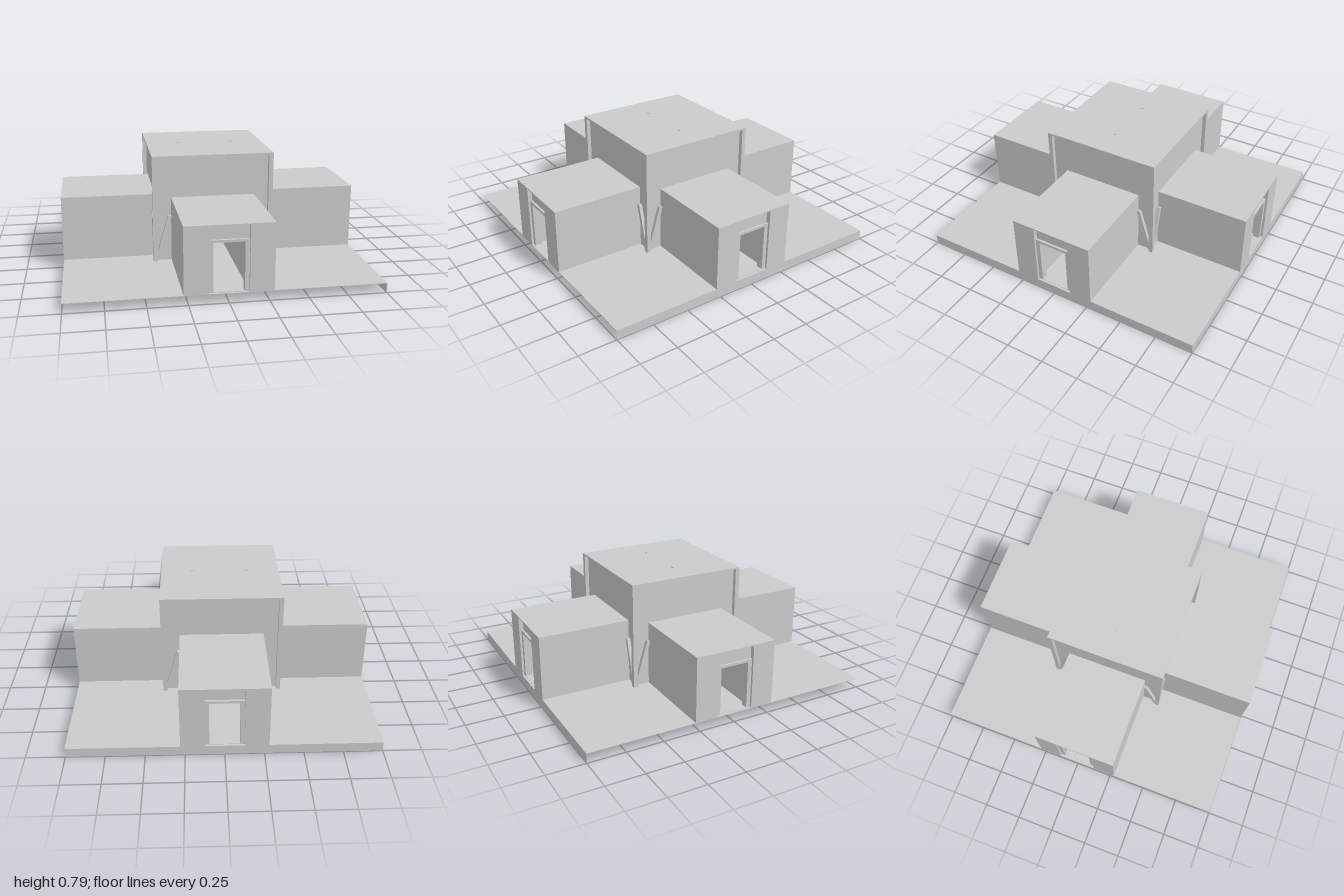
import * as THREE from 'three';

const FLOOR = 0.065, ARM_TOP = 0.5, TOP = 0.785;
const HALF = 0.405;   // half width of the central block
const PANEL = 0.378;  // half width of its recessed walls

export function createModel() {
  const model = new THREE.Group();
  const mat = new THREE.MeshStandardMaterial({ color: 0xcccccc, side: THREE.DoubleSide, flatShading: true });

  // Box given by its two opposite corners
  function box(parent, name, x0, x1, y0, y1, z0, z1) {
    const mesh = new THREE.Mesh(new THREE.BoxGeometry(x1 - x0, y1 - y0, z1 - z0), mat);
    mesh.position.set((x0 + x1) / 2, (y0 + y1) / 2, (z0 + z1) / 2);
    mesh.name = name;
    parent.add(mesh);
    return mesh;
  }

  // Square strut between two points
  function strut(parent, name, a, b, size) {
    const dir = b.clone().sub(a);
    const mesh = new THREE.Mesh(new THREE.BoxGeometry(size, dir.length(), size), mat);
    mesh.position.copy(a).add(b).multiplyScalar(0.5);
    mesh.quaternion.setFromUnitVectors(new THREE.Vector3(0, 1, 0), dir.normalize());
    mesh.name = name;
    parent.add(mesh);
  }

  // Thin floor, open underneath, with a skirt on two sides only
  box(model, 'floor', -1, 1, FLOOR - 0.003, FLOOR, -1, 1);
  box(model, 'skirtSide', 0.997, 1, 0, FLOOR, -1, 1);
  box(model, 'skirtBack', -1, 1, 0, FLOOR, -1, -0.997);

  // Central block: recessed walls under a thin overhanging roof
  box(model, 'upperWalls', -PANEL, PANEL, ARM_TOP - 0.01, TOP - 0.01, -PANEL, PANEL);
  box(model, 'centralRoof', -HALF, HALF, TOP - 0.012, TOP, -HALF, HALF);

  // Small roof fittings
  for (const s of [-1, 1]) {
    box(model, 'roofFitting', s * 0.19 - 0.015, s * 0.19 + 0.015, TOP, TOP + 0.005, -0.006, 0.006);
  }

  // One wing and one corner, repeated by quarter turns
  for (let i = 0; i < 4; i++) {
    const wing = new THREE.Group();
    wing.name = 'wing';
    wing.rotation.y = i * Math.PI / 2;
    model.add(wing);

    // Corridor walls and roof
    for (const s of [-1, 1]) {
      const a = s * 0.125, b = s * 0.28;
      box(wing, 'corridorWall', Math.min(a, b), Math.max(a, b), FLOOR, ARM_TOP - 0.004, 0.3, 1);
    }
    box(wing, 'wingRoof', -0.28, 0.28, ARM_TOP - 0.008, ARM_TOP, 0.3, 1);

    // Recessed doorway: header, jambs, lintel and sill
    box(wing, 'doorHeader', -0.125, 0.125, 0.385, ARM_TOP - 0.008, 0.945, 0.97);
    for (const s of [-1, 1]) {
      box(wing, 'doorJamb', s * 0.111 - 0.014, s * 0.111 + 0.014, FLOOR, 0.385, 0.94, 0.985);
    }
    box(wing, 'doorLintel', -0.125, 0.125, 0.383, 0.4, 0.94, 0.985);
    box(wing, 'doorSill', -0.125, 0.125, FLOOR, FLOOR + 0.003, 0.94, 0.985);

    // Corner: recessed wall, full-height post and braces
    box(wing, 'cornerWall', 0.125, PANEL, FLOOR, ARM_TOP, 0.125, PANEL);
    box(wing, 'cornerPost', 0.375, HALF, FLOOR, TOP - 0.012, 0.375, HALF);
    const lo = FLOOR + 0.02, hi = 0.38;
    strut(wing, 'cornerBrace', new THREE.Vector3(0.375, lo, 0.389), new THREE.Vector3(0.29, hi, 0.389), 0.024);
    strut(wing, 'cornerBrace', new THREE.Vector3(0.389, lo, 0.375), new THREE.Vector3(0.389, hi, 0.29), 0.024);
  }
  return model;
}
